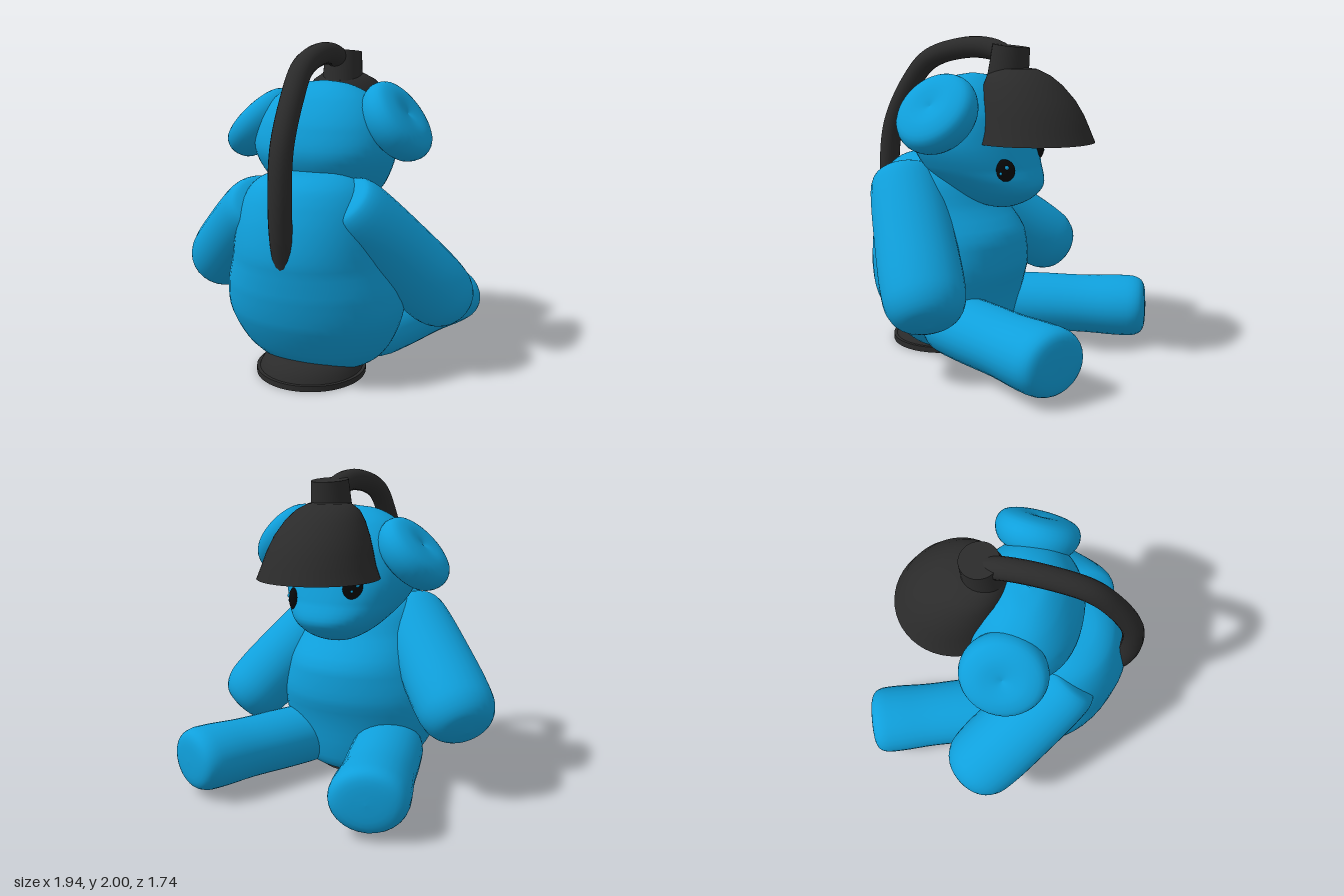
import * as THREE from 'three';
import { ParametricGeometry } from 'three/addons/geometries/ParametricGeometry.js';

const mat = (color, side = THREE.FrontSide) => new THREE.MeshStandardMaterial({ color, side });
const plush = mat(0x0fa0dc, THREE.DoubleSide);
const dark = mat(0x2b2b2b, THREE.DoubleSide);
const black = mat(0x080808);
const V = (x, y, z) => new THREE.Vector3(x, y, z);

// Smooth closed form through horizontal rings [y, half width, back z, front z]
function ringForm(rings, cx, power) {
  const size = new THREE.CatmullRomCurve3(rings.map(r => V(r[0], r[1], 0)));
  const depth = new THREE.CatmullRomCurve3(rings.map(r => V(r[2], r[3], 0)));
  const round = c => Math.sign(c) * Math.pow(Math.abs(c), 2 / power);
  return new ParametricGeometry((u, v, target) => {
    const s = size.getPoint(v), d = depth.getPoint(v), a = u * Math.PI * 2;
    target.set(cx + s.y * round(Math.sin(a)), s.x,
      (d.x + d.y) / 2 + (d.x - d.y) / 2 * round(Math.cos(a)));
  }, 48, 40);
}

function lathe(profile, segments = 40) {
  return new THREE.LatheGeometry(profile.map(p => new THREE.Vector2(p[0], p[1])), segments);
}

// Stuffed limb: profile of [radius, fraction of length] turned around start-end
function limb(start, end, profile, flat) {
  const dir = end.clone().sub(start), length = dir.length();
  const pts = new THREE.SplineCurve(profile.map(p => new THREE.Vector2(p[0], p[1] * length))).getPoints(32);
  pts.forEach(p => { p.x = Math.max(p.x, 0); });
  const geo = new THREE.LatheGeometry(pts, 28);
  geo.scale(1, 1, flat);
  // local y follows the limb, local z stays as upright as possible
  const y = dir.normalize();
  const x = V(0, 1, 0).cross(y).normalize();
  const z = x.clone().cross(y);
  geo.applyMatrix4(new THREE.Matrix4().makeBasis(x, y, z));
  geo.translate(start.x, start.y, start.z);
  return geo;
}

export function createModel() {
  const group = new THREE.Group();
  const add = (name, geo, material, parent = group) => {
    const mesh = new THREE.Mesh(geo, material);
    mesh.name = name;
    parent.add(mesh);
    return mesh;
  };

  // Body and head
  add('body', ringForm([
    [0.03, 0.01, 0.3, 0.28], [0.035, 0.26, 0.46, -0.02], [0.08, 0.37, 0.52, -0.08], [0.2, 0.47, 0.64, -0.12],
    [0.4, 0.55, 0.745, -0.16], [0.57, 0.55, 0.785, -0.2], [0.75, 0.5, 0.8, -0.19],
    [0.95, 0.45, 0.78, -0.04], [1.1, 0.4, 0.73, 0.05], [1.2, 0.32, 0.67, 0.15],
    [1.255, 0.2, 0.58, 0.26], [1.265, 0.01, 0.43, 0.42]], 0.05, 2.05), plush);
  add('head', ringForm([
    [0.94, 0.01, -0.08, -0.1], [0.95, 0.1, 0.0, -0.18], [1.0, 0.2, 0.13, -0.28], [1.08, 0.29, 0.27, -0.34],
    [1.2, 0.38, 0.41, -0.3], [1.36, 0.44, 0.47, -0.25], [1.53, 0.41, 0.43, -0.2],
    [1.67, 0.31, 0.34, -0.1], [1.75, 0.17, 0.24, 0.02], [1.775, 0.01, 0.14, 0.12]], 0.03, 2.25), plush);

  // Arms: blunt at the shoulder, full at the paw
  const armProfile = [[0, -0.01], [0.15, 0], [0.21, 0.04], [0.235, 0.18], [0.248, 0.5],
    [0.25, 0.75], [0.228, 0.89], [0.15, 0.975], [0, 1]];
  add('leftArm', limb(V(0.3, 1.13, 0.48), V(0.83, 0.36, -0.09), armProfile, 0.9), plush);
  add('rightArm', limb(V(-0.2, 1.07, 0.48), V(-0.87, 0.46, -0.07), armProfile, 0.92), plush);

  // Legs with wide hips and blunt feet
  const legProfile = [[0, 0], [0.15, 0.01], [0.22, 0.08], [0.23, 0.3], [0.225, 0.6],
    [0.235, 0.82], [0.225, 0.94], [0.16, 0.99], [0, 1]];
  add('leftLeg', limb(V(0.3, 0.215, 0.17), V(0.66, 0.23, -0.83), legProfile, 0.84), plush);
  add('rightLeg', limb(V(-0.23, 0.215, 0.17), V(-0.6, 0.23, -0.83), legProfile, 0.84), plush);

  // Ears: thick discs, dimpled outside
  const earCurve = new THREE.SplineCurve([[0, -0.13], [0.14, -0.125], [0.225, -0.085], [0.262, 0],
    [0.235, 0.075], [0.15, 0.105], [0.06, 0.1], [0, 0.085]].map(p => new THREE.Vector2(...p)));
  const earProfile = earCurve.getPoints(24).map(p => [Math.max(p.x, 0), p.y]);
  for (const [name, pos, normal] of [
    ['leftEar', V(0.485, 1.54, 0.085), V(0.8, 0.6, 0.05)],
    ['rightEar', V(-0.415, 1.49, 0.09), V(-0.72, 0.69, 0.05)]]) {
    const ear = add(name, lathe(earProfile), plush);
    ear.position.copy(pos);
    ear.quaternion.setFromUnitVectors(V(0, 1, 0), normal.normalize());
  }

  // Eyes with two small highlights, the right one set higher
  for (const [name, pos, turn] of [
    ['leftEye', V(0.26, 1.2, -0.235), Math.PI - 0.98],
    ['rightEye', V(-0.175, 1.3, -0.235), Math.PI + 0.8]]) {
    const eye = new THREE.Group();
    eye.name = name;
    add('pupil', new THREE.SphereGeometry(0.07, 24, 16).scale(1, 1, 0.45), black, eye);
    for (const [x, y, r] of [[0.018, 0.022, 0.013], [-0.018, -0.014, 0.009]])
      add('highlight', new THREE.SphereGeometry(r, 12, 8).translate(x, y, 0.027), plush, eye);
    eye.position.copy(pos);
    eye.rotation.y = turn;
    group.add(eye);
  }

  // Lamp base: flat plate under a low dome
  add('basePlate', new THREE.CylinderGeometry(0.34, 0.34, 0.035, 48).translate(0.045, 0.0175, 0.36), dark);
  add('baseDome', lathe([[0.32, 0.035], [0.31, 0.06], [0.29, 0.095], [0.255, 0.125], [0.2, 0.143], [0, 0.143]], 48)
    .translate(0.045, 0, 0.36), dark);

  // Curved lamp stem
  const stem = new THREE.CatmullRomCurve3([
    V(0.06, 0.76, 0.73), V(0.06, 0.95, 0.78), V(0.06, 1.2, 0.79), V(0.055, 1.45, 0.748), V(0.05, 1.7, 0.61),
    V(0.04, 1.86, 0.455), V(0.03, 1.933, 0.16), V(0.03, 1.913, -0.04), V(0.035, 1.86, -0.14)]);
  add('lampStem', new THREE.TubeGeometry(stem, 48, 0.067, 16), dark);

  // Socket on top of the shade
  const socket = add('lampSocket', new THREE.CylinderGeometry(0.115, 0.128, 0.19, 32), dark);
  socket.position.set(0.038, 1.845, -0.145);
  socket.rotation.x = -0.12;

  // Shade: bell whose crown curves back to the socket, open below
  const shade = lathe([[0.375, 0], [0.345, 0.08], [0.322, 0.16], [0.29, 0.25], [0.243, 0.34],
    [0.195, 0.4], [0.13, 0.44], [0, 0.455]], 48);
  const p = shade.attributes.position;
  for (let i = 0; i < p.count; i++) p.setZ(i, p.getZ(i) + p.getY(i) ** 2 * 0.68);
  shade.computeVertexNormals();
  add('lampShade', shade.translate(0.025, 1.36, -0.31), dark);
  add('bulb', new THREE.SphereGeometry(0.2, 32, 20).translate(0.025, 1.535, -0.29), mat(0xcccccc));

  return group;
}
